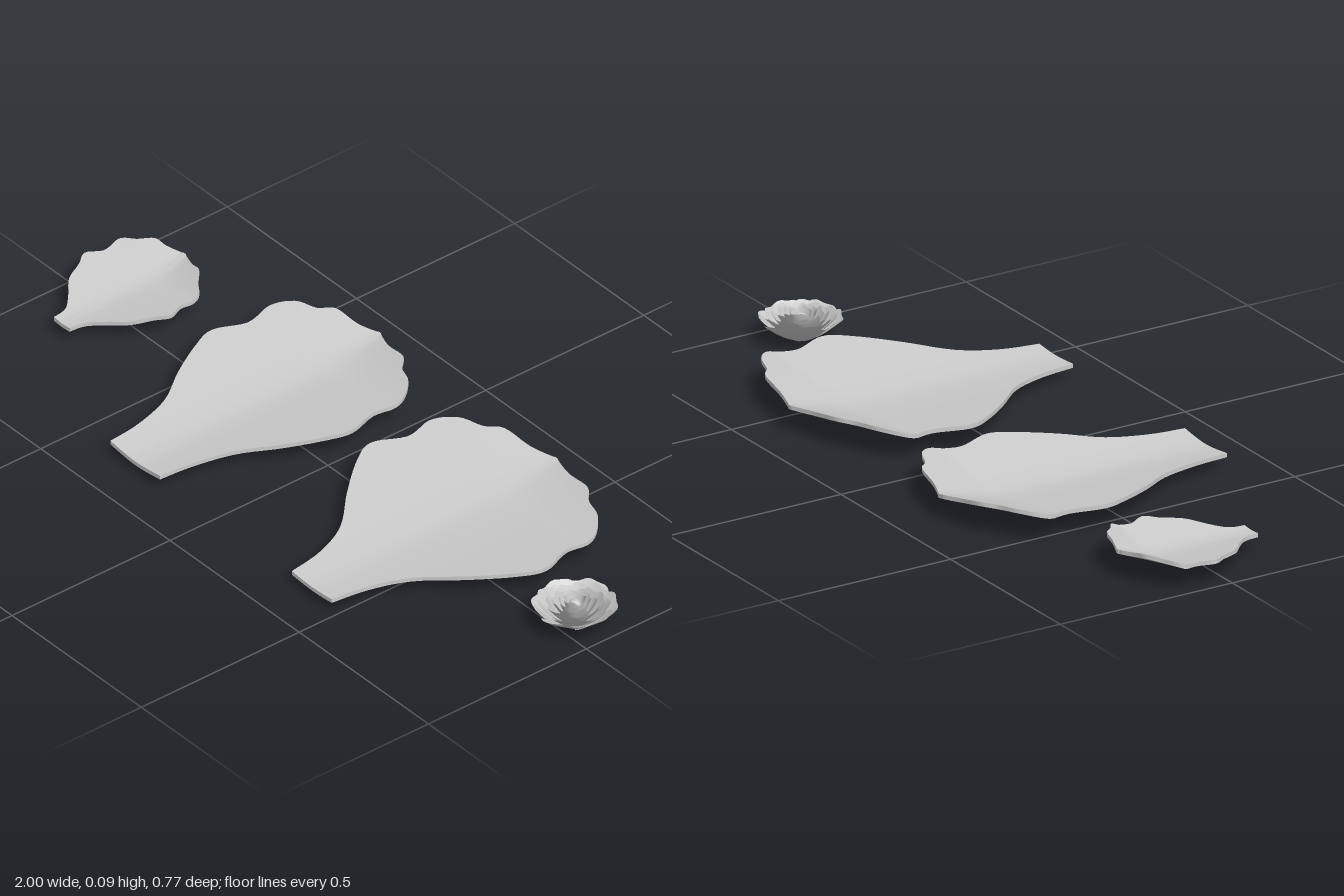
import * as THREE from 'three';
import { toCreasedNormals } from 'three/addons/utils/BufferGeometryUtils.js';

const grey = new THREE.MeshStandardMaterial({ color: 0xcccccc });
const thinGrey = new THREE.MeshStandardMaterial({ color: 0xcccccc, side: THREE.DoubleSide });

function buildGeometry(positions, index) {
  const g = new THREE.BufferGeometry();
  g.setAttribute('position', new THREE.Float32BufferAttribute(positions, 3));
  g.setIndex(index);
  g.computeVertexNormals();
  return g;
}

// Thin curved slab: outline is [half width, z] from the back tip to the stalk.
function slabPetal(name, { x: cx, outline, base, rise, lift, liftStart }) {
  const rows = 60, cols = 24, thick = 0.011, ring = 2 * (cols + 1);
  const curve = new THREE.SplineCurve(outline.map(p => new THREE.Vector2(...p)));
  const maxW = Math.max(...outline.map(p => p[0]));
  const tip = outline[0][1];

  // Shallow valley along the middle, with the back rim flaring upward
  const height = (x, z) => {
    const s = Math.abs(x) / maxW;
    const t = Math.max(0, (liftStart - z) / (liftStart - tip));
    return base + rise * (Math.sqrt(s * s + 0.03) - 0.173) / 0.842
      + lift * Math.pow(t, 1.2) * (1 + 0.75 * s);
  };

  const pos = [], idx = [];
  for (let i = 0; i <= rows; i++) {
    const p = curve.getPoint(i / rows), w = Math.max(p.x, 0.004);
    for (let k = 0; k < ring; k++) {
      const top = k <= cols;
      const x = w * (2 * (top ? k : ring - 1 - k) / cols - 1);
      pos.push(x, height(x, p.y) + (top ? thick : 0), p.y);
    }
  }
  for (let i = 0; i < rows; i++) {
    for (let k = 0; k < ring; k++) {
      const n = (k + 1) % ring;
      const a = i * ring + k, b = i * ring + n, c = a + ring, d = b + ring;
      idx.push(a, c, b, b, c, d);
    }
  }
  // End faces at the stalk and the back tip
  for (let k = 0; k < cols; k++) {
    const a = k, b = k + 1, c = ring - 1 - k, d = ring - 2 - k, o = rows * ring;
    idx.push(o + c, o + d, o + b, o + c, o + b, o + a);
    idx.push(c, b, d, c, a, b);
  }
  const mesh = new THREE.Mesh(toCreasedNormals(buildGeometry(pos, idx), 0.7), grey);
  mesh.name = name;
  mesh.position.x = cx;
  return mesh;
}

// One curved shell of the blossom, cupped around its centre.
function blossomPetal(radius, top, angle, span, phase) {
  const nu = 14, nv = 10, pos = [], idx = [];
  for (let i = 0; i <= nv; i++) {
    for (let j = 0; j <= nu; j++) {
      const u = 2 * j / nu - 1;
      const v = (i / nv) * (1 - 0.14 * u ** 4 + 0.025 * Math.cos(u * 8 + phase));
      const a = angle + u * span / 2;
      const r = radius * Math.pow(v, 0.8) * (1 + 0.05 * u);
      const y = 0.002 + top * Math.pow(v, 1.25) + 0.003 * v * Math.sin(u * 5 + phase);
      pos.push(r * Math.cos(a), y, r * Math.sin(a));
    }
  }
  for (let i = 0; i < nv; i++) {
    for (let j = 0; j < nu; j++) {
      const a = i * (nu + 1) + j, b = a + 1, c = a + nu + 1, d = c + 1;
      idx.push(a, c, b, b, c, d);
    }
  }
  return new THREE.Mesh(buildGeometry(pos, idx), thinGrey);
}

function blossom() {
  const group = new THREE.Group();
  group.name = 'blossom';
  // Nested layers: [radius, rim height, number of petals]
  const layers = [
    [0.104, 0.064, 6], [0.088, 0.069, 5], [0.072, 0.072, 5],
    [0.056, 0.075, 5], [0.041, 0.077, 4], [0.027, 0.078, 3],
  ];
  layers.forEach(([radius, top, count], l) => {
    for (let k = 0; k < count; k++) {
      const petal = blossomPetal(radius, top, (k / count) * Math.PI * 2 + l * 0.65,
        (Math.PI * 2 / count) * 1.3, k * 1.7 + l);
      petal.name = `blossomPetal${l + 1}_${k + 1}`;
      group.add(petal);
    }
  });
  // Closed heart in the middle
  const heart = new THREE.Mesh(new THREE.SphereGeometry(0.016, 16, 10), grey);
  heart.name = 'blossomHeart';
  heart.scale.y = 0.9;
  heart.position.y = 0.06;
  group.add(heart);
  group.position.set(0.9, 0, -0.045);
  return group;
}

export function createModel() {
  const model = new THREE.Group();
  model.name = 'flowerParts';

  model.add(slabPetal('smallPetal', {
    x: -0.828, base: 0.036, rise: 0.025, lift: 0.034, liftStart: -0.12,
    outline: [[0, -0.225], [0.05, -0.207], [0.085, -0.2], [0.118, -0.17], [0.155, -0.14],
      [0.15, -0.09], [0.168, -0.045], [0.145, -0.008], [0.118, 0.045], [0.075, 0.083],
      [0.043, 0.115], [0.033, 0.14], [0.031, 0.165]],
  }));

  model.add(slabPetal('mediumPetal', {
    x: -0.275, base: 0.025, rise: 0.036, lift: 0.038, liftStart: -0.22,
    outline: [[0, -0.39], [0.06, -0.368], [0.13, -0.357], [0.165, -0.325], [0.22, -0.3],
      [0.257, -0.245], [0.245, -0.17], [0.272, -0.08], [0.25, -0.01], [0.2, 0.085],
      [0.138, 0.18], [0.106, 0.29], [0.096, 0.385]],
  }));

  model.add(slabPetal('largePetal', {
    x: 0.408, base: 0.025, rise: 0.036, lift: 0.038, liftStart: -0.22,
    outline: [[0, -0.39], [0.075, -0.368], [0.16, -0.357], [0.205, -0.325], [0.27, -0.3],
      [0.318, -0.245], [0.308, -0.17], [0.34, -0.08], [0.308, -0.01], [0.23, 0.085],
      [0.14, 0.18], [0.095, 0.28], [0.077, 0.385]],
  }));

  model.add(blossom());
  return model;
}
